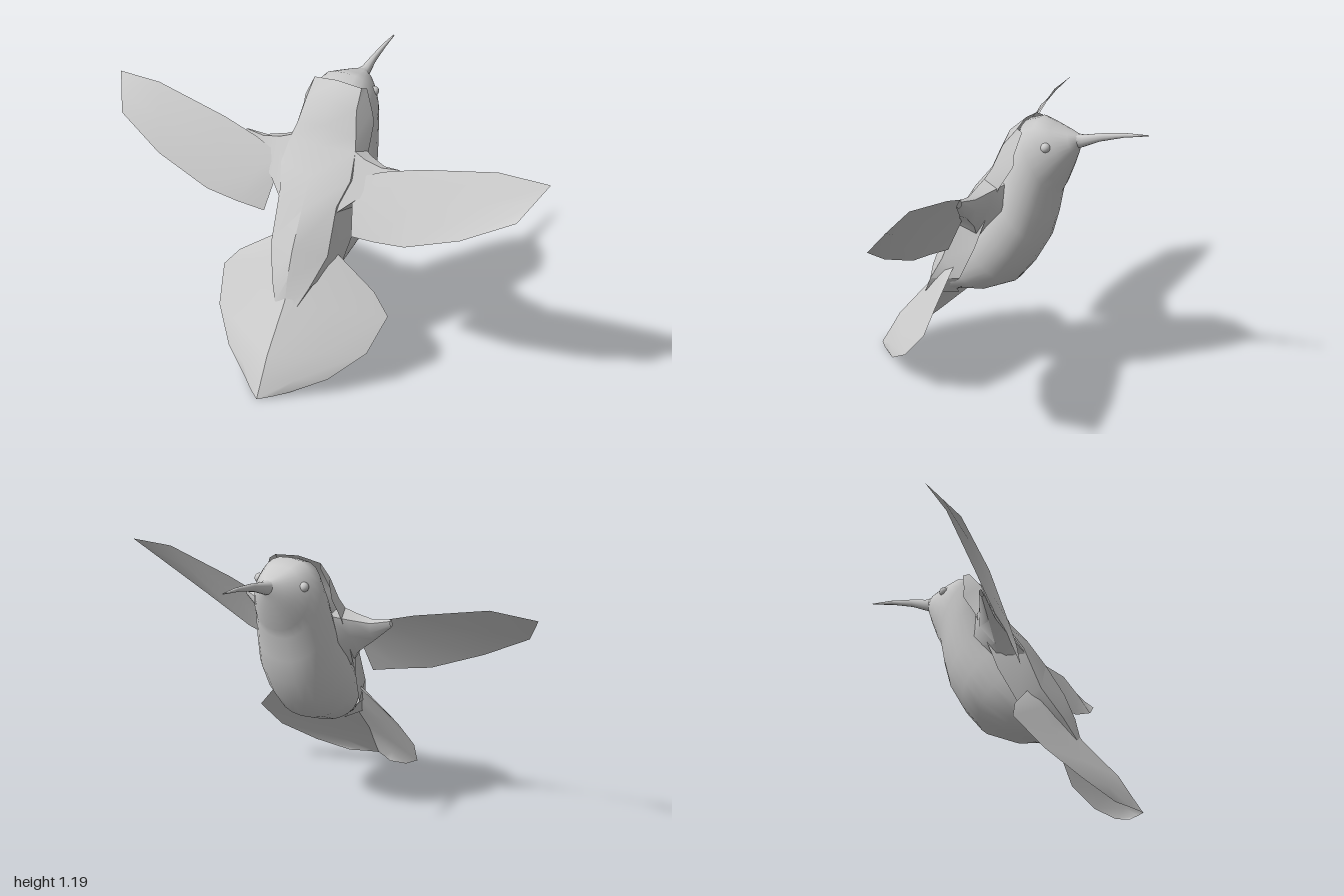
import * as THREE from 'three';
import { toCreasedNormals } from 'three/addons/utils/BufferGeometryUtils.js';

const material = new THREE.MeshStandardMaterial({ color: 0xcccccc, side: THREE.DoubleSide });

// Skin a surface over rows of [x, y, z] points; closed joins each row into a ring,
// crease keeps edges sharper than that angle
function skin(name, rows, { closed = false, crease = 0 } = {}) {
  const n = rows[0].length, index = [];
  for (let i = 0; i < rows.length - 1; i++) {
    for (let j = 0; j < (closed ? n : n - 1); j++) {
      const k = (j + 1) % n;
      const a = i * n + j, b = i * n + n + j, c = i * n + k, d = i * n + n + k;
      index.push(a, b, c, c, b, d);
    }
  }
  let geo = new THREE.BufferGeometry();
  geo.setAttribute('position', new THREE.Float32BufferAttribute(rows.flat(2), 3));
  geo.setIndex(index);
  geo.computeVertexNormals();
  if (crease) geo = toCreasedNormals(geo, crease);
  const mesh = new THREE.Mesh(geo, material);
  mesh.name = name;
  return mesh;
}

// Ring from a back point, a belly point and a half width, fuller towards the back
function oval([yB, zB, yF, zF, w], sides) {
  const ring = [];
  for (let i = 0; i < sides; i++) {
    const t = (i / sides) * Math.PI * 2, c = (1 + Math.cos(t)) / 2, s = Math.sin(t);
    const x = Math.sign(s) * w * Math.abs(s) ** (c > 0.5 ? 0.7 : 0.9);
    ring.push([x, yF + (yB - yF) * c, zF + (zB - zF) * c]);
  }
  return ring;
}

// Mirror rows to the given side, keeping the faces outward
const toSide = (rows, s) => rows.map((r) => {
  const m = r.map(([x, y, z]) => [x * s, y, z]);
  return s < 0 ? m.reverse() : m;
});

export function createModel() {
  const bird = new THREE.Group();
  bird.name = 'hummingbird';

  // Head and body: back y, back z, belly y, belly z, half width
  const body = [
    [1.13, -0.34, 1.11, -0.34, 0.002],
    [1.143, -0.32, 1.085, -0.325, 0.026],
    [1.155, -0.28, 1.06, -0.32, 0.058],
    [1.176, -0.21, 1.0, -0.30, 0.1],
    [1.195, -0.15, 0.92, -0.27, 0.132],
    [1.175, -0.09, 0.88, -0.25, 0.15],
    [1.05, -0.035, 0.77, -0.23, 0.166],
    [0.90, 0.01, 0.66, -0.20, 0.18],
    [0.80, 0.08, 0.55, -0.14, 0.188],
    [0.68, 0.16, 0.46, -0.07, 0.182],
    [0.55, 0.23, 0.40, 0.06, 0.148],
    [0.44, 0.29, 0.39, 0.14, 0.1],
    [0.345, 0.35, 0.365, 0.20, 0.045],
    [0.35, 0.30, 0.36, 0.27, 0.002],
  ];
  bird.add(skin('body', body.map((r) => oval(r, 24)), { closed: true }));

  // Slender upcurved beak, tip to base
  const beak = [
    [1.178, -0.612, 1.174, -0.612, 0.003],
    [1.175, -0.52, 1.155, -0.51, 0.009],
    [1.162, -0.42, 1.125, -0.41, 0.013],
    [1.145, -0.34, 1.09, -0.335, 0.022],
    [1.145, -0.30, 1.08, -0.30, 0.035],
  ];
  bird.add(skin('beak', beak.map((r) => oval(r, 12)), { closed: true }));

  // Back mantle: centre, edge and skirt points of each row
  const mantle = [
    [[0, 1.187, -0.09], [0.11, 1.175, -0.095], [0.122, 1.165, -0.12]],
    [[0, 1.125, -0.02], [0.118, 1.10, -0.035], [0.158, 1.08, -0.10]],
    [[0, 1.03, 0.025], [0.138, 1.0, 0.005], [0.168, 1.03, -0.10]],
    [[0, 0.95, 0.06], [0.152, 0.95, 0.035], [0.176, 0.93, -0.04]],
    [[0, 0.85, 0.14], [0.165, 0.85, 0.10], [0.186, 0.83, 0.0]],
    [[0, 0.72, 0.22], [0.135, 0.75, 0.165], [0.186, 0.65, 0.065]],
    [[0, 0.57, 0.30], [0.135, 0.55, 0.24], [0.158, 0.48, 0.15]],
    [[0, 0.45, 0.345], [0.09, 0.42, 0.32], [0.108, 0.43, 0.20]],
    [[0, 0.33, 0.37], [0.05, 0.33, 0.365], [0.05, 0.36, 0.20]],
  ];
  bird.add(skin('mantle', mantle.map(([c, e, k]) => {
    const m = ([x, y, z]) => [-x, y, z];
    return [m(k), m(e), c, e, k];
  }), { crease: 0.6 }));

  // Shoulder rings, body to wing
  const shoulder = [
    [0.13, [0.72, 0.175], [0.96, 0.03], [0.94, -0.06], [0.80, -0.09], [0.62, 0.06]],
    [0.20, [0.78, 0.125], [0.935, 0.045], [0.922, -0.015], [0.85, -0.01], [0.755, 0.06]],
    [0.28, [0.83, 0.09], [0.92, 0.05], [0.912, 0.02], [0.87, 0.02], [0.825, 0.06]],
    [0.36, [0.905, 0.07], [0.935, 0.055], [0.93, 0.045], [0.915, 0.045], [0.9, 0.057]],
  ].map(([x, ...pts]) => pts.map((p) => [x, ...p]));

  // Wing: leading edge above, trailing edge below
  const wing = [
    [[0.18, 0.86, 0.075], [0.30, 0.915, 0.065], [0.46, 0.97, 0.063], [0.79, 1.055, 0.067], [1, 1.055, 0.06]],
    [[0.185, 0.77, 0.12], [0.26, 0.80, 0.125], [0.46, 0.84, 0.14], [0.75, 0.93, 0.145], [0.96, 0.99, 0.12]],
    [[0.21, 0.635, 0.175], [0.33, 0.66, 0.20], [0.47, 0.69, 0.215], [0.71, 0.80, 0.218], [0.92, 0.925, 0.18]],
  ];

  // Half tail fan: ridge to outer edge
  const tail = [
    [[0, 0.66, 0.18], [0.07, 0.60, 0.18], [0.15, 0.53, 0.178]],
    [[0, 0.47, 0.30], [0.16, 0.45, 0.25], [0.33, 0.405, 0.19]],
    [[0, 0.345, 0.375], [0.20, 0.335, 0.30], [0.405, 0.315, 0.207]],
    [[0, 0.17, 0.52], [0.19, 0.18, 0.42], [0.365, 0.18, 0.32]],
    [[0, 0.08, 0.57], [0.13, 0.08, 0.51], [0.245, 0.08, 0.44]],
    [[0, 0.002, 0.615], [0.05, 0.01, 0.58], [0.11, 0.02, 0.53]],
  ];

  for (const s of [1, -1]) {
    const side = s > 0 ? 'left' : 'right';
    bird.add(skin(side + 'Shoulder', toSide(shoulder, s), { closed: true, crease: 0.9 }));
    bird.add(skin(side + 'Wing', toSide(wing, s)));
    bird.add(skin(side + 'TailFan', toSide(tail, s)));

    const eye = new THREE.Mesh(new THREE.SphereGeometry(0.02, 16, 12), material);
    eye.name = side + 'Eye';
    eye.position.set(s * 0.108, 1.108, -0.215);
    bird.add(eye);
  }
  return bird;
}
